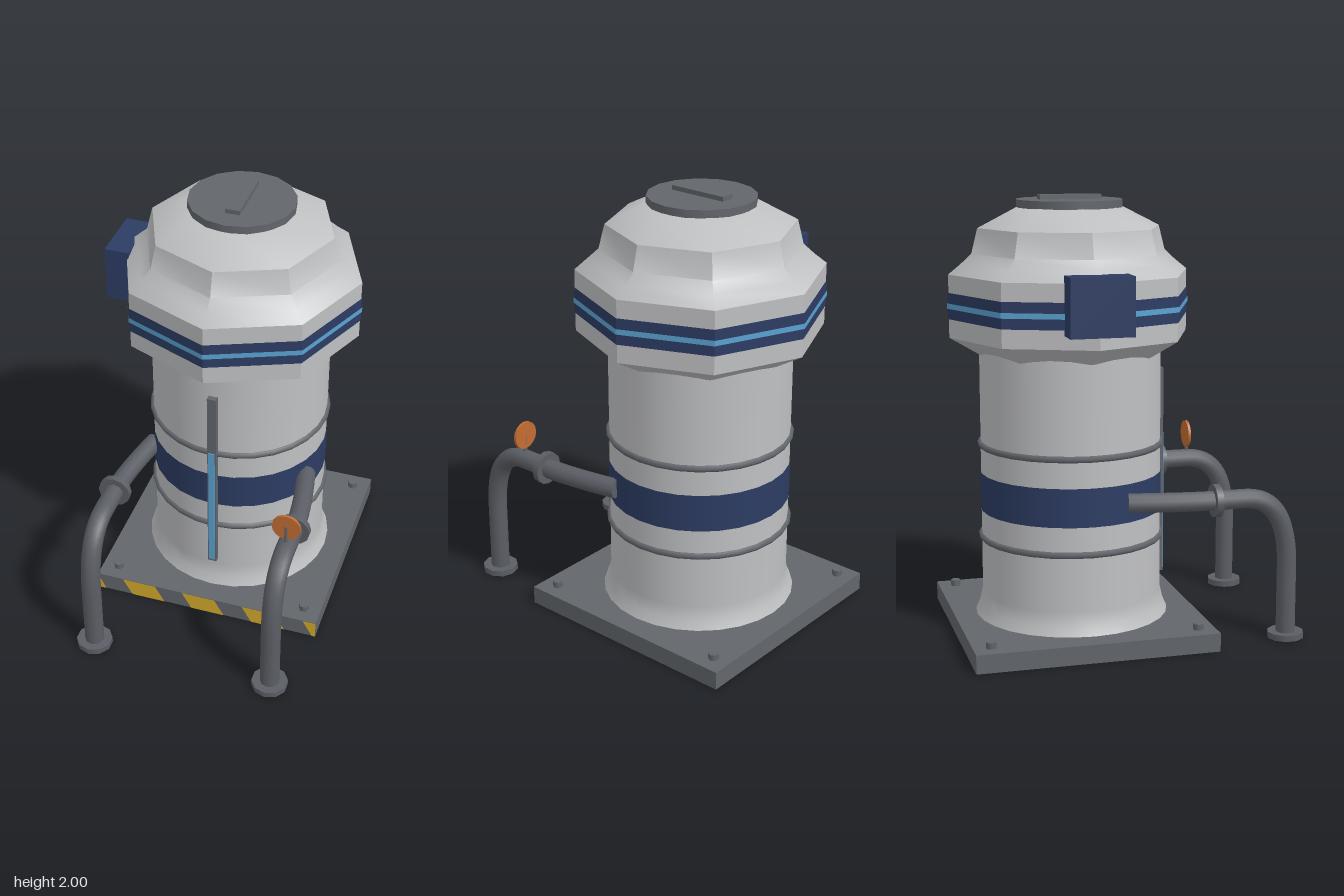
import * as THREE from 'three';
import { toCreasedNormals } from 'three/addons/utils/BufferGeometryUtils.js';

export function createModel() {
  const model = new THREE.Group();
  model.name = 'storageTank';

  const mat = (name, color, side = THREE.FrontSide) => {
    const m = new THREE.MeshStandardMaterial({ color, side });
    m.name = name;
    return m;
  };
  const shell = mat('light grey shell', 0xbfc0c2, THREE.DoubleSide);
  const steel = mat('dark steel', 0x62666b);
  const pipeGrey = mat('pipe grey', 0x5b5e65);
  const navy = mat('navy', 0x2c3c63);
  const blue = mat('light blue', 0x5aa2d0);
  const orange = mat('orange', 0xc26c32);
  const yellow = mat('hazard yellow', 0xd2a82c);

  const add = (parent, name, geo, material, x = 0, y = 0, z = 0) => {
    const mesh = new THREE.Mesh(geo, material);
    mesh.name = name;
    mesh.position.set(x, y, z);
    parent.add(mesh);
    return mesh;
  };
  const box = (w, h, d) => new THREE.BoxGeometry(w, h, d);
  const disc = (r, h, sides) => new THREE.CylinderGeometry(r, r, h, sides);
  const lathe = (points, sides) =>
    new THREE.LatheGeometry(points.map(([r, y]) => new THREE.Vector2(r, y)), sides);

  // Everything on the tank is placed around its own axis
  const tank = new THREE.Group();
  tank.name = 'tank';
  tank.position.set(0.02, 0, -0.215);
  model.add(tank);

  // Base plate with corner bolts
  add(tank, 'basePlate', box(1.1, 0.085, 1.1), steel, 0, 0.0425, 0);
  for (const x of [-0.47, 0.47]) {
    for (const z of [-0.47, 0.47]) {
      const bolt = add(tank, 'baseBolt', disc(0.024, 0.03, 6), steel, x, 0.098, z);
      bolt.rotation.y = Math.PI / 2;
    }
  }

  // Slanted hazard stripes on the front edge of the base
  const clampX = (x) => Math.min(0.55, Math.max(-0.55, x));
  for (let i = 0; i < 5; i++) {
    const left = -0.722 + i * 0.302, w = 0.165, slant = 0.048;
    const stripe = new THREE.Shape([
      new THREE.Vector2(clampX(left + slant), 0),
      new THREE.Vector2(clampX(left + w + slant), 0),
      new THREE.Vector2(clampX(left + w), 0.085),
      new THREE.Vector2(clampX(left), 0.085),
    ]);
    add(tank, 'hazardStripe', new THREE.ShapeGeometry(stripe), yellow, 0, 0, 0.552);
  }

  // Round body with flared foot, painted band and hoops
  add(tank, 'body', lathe([[0.445, 0.085], [0.425, 0.13], [0.412, 0.19], [0.412, 1.34]], 28), shell);
  add(tank, 'bodyBand', new THREE.CylinderGeometry(0.415, 0.415, 0.175, 28, 1, true), navy, 0, 0.662, 0);
  for (const y of [0.45, 0.88]) {
    const hoop = add(tank, 'hoop', new THREE.TorusGeometry(0.411, 0.016, 6, 28), steel, 0, y, 0);
    hoop.rotation.x = Math.PI / 2;
  }

  // Eight-sided head
  const headProfile = [
    [0.38, 1.278], [0.42, 1.297], [0.55, 1.375], [0.55, 1.656],
    [0.495, 1.7], [0.445, 1.746], [0.417, 1.857], [0.24, 1.947], [0.001, 1.95],
  ];
  add(tank, 'head', toCreasedNormals(lathe(headProfile, 8), 0.7), shell);
  const octagonBand = (r, h) =>
    toCreasedNormals(new THREE.CylinderGeometry(r, r, h, 8, 1, true), 0.3);
  add(tank, 'headBand', octagonBand(0.553, 0.117), navy, 0, 1.517, 0);
  add(tank, 'headStripe', octagonBand(0.557, 0.024), blue, 0, 1.517, 0);

  // Lid and its handle
  add(tank, 'lid', disc(0.24, 0.035, 16), steel, 0, 1.962, 0);
  add(tank, 'lidHandle', box(0.065, 0.022, 0.28), steel, 0, 1.989, 0);

  // Side control box
  add(tank, 'controlBox', box(0.112, 0.255, 0.28), navy, -0.542, 1.562, 0);

  // Level gauge on the front
  add(tank, 'gaugeBack', box(0.042, 0.97, 0.035), steel, 0, 0.717, 0.42);
  add(tank, 'gaugeLevel', box(0.03, 0.65, 0.006), blue, 0, 0.57, 0.439);

  // Outlet pipes, mirrored left and right
  for (const side of [-1, 1]) {
    const pipe = new THREE.Group();
    pipe.name = side > 0 ? 'leftPipe' : 'rightPipe';
    pipe.position.x = 0.02;
    model.add(pipe);

    const x = side * 0.43, top = 0.663;
    const p = (px, y, z) => new THREE.Vector3(px, y, z);
    const path = new THREE.CurvePath();
    path.add(new THREE.QuadraticBezierCurve3(p(side * 0.378, top, -0.045), p(x, top, 0.2), p(x, top, 0.34)));
    path.add(new THREE.LineCurve3(p(x, top, 0.34), p(x, top, 0.48)));
    path.add(new THREE.QuadraticBezierCurve3(p(x, top, 0.48), p(x, top, 0.687), p(x, 0.34, 0.687)));
    path.add(new THREE.LineCurve3(p(x, 0.34, 0.687), p(x, 0.01, 0.687)));
    add(pipe, 'pipe', new THREE.TubeGeometry(path, 48, 0.045, 10), pipeGrey);

    const end = add(pipe, 'pipeEnd', new THREE.CircleGeometry(0.045, 10), pipeGrey, side * 0.378, top, -0.045);
    end.rotation.y = Math.PI + side * 0.21;

    const flange = add(pipe, 'flange', disc(0.076, 0.03, 12), pipeGrey, x, top, 0.345);
    flange.rotation.x = Math.PI / 2;
    add(pipe, 'pipeFoot', disc(0.084, 0.028, 10), pipeGrey, x, 0.014, 0.687);

    // Valve wheel on one pipe only
    if (side > 0) {
      add(pipe, 'valveStem', disc(0.009, 0.1, 8), steel, x, 0.745, 0.48);
      const wheel = add(pipe, 'valveWheel', disc(0.066, 0.013, 16), orange, x, 0.788, 0.478);
      wheel.rotation.x = Math.PI / 2;
    }
  }

  return model;
}
